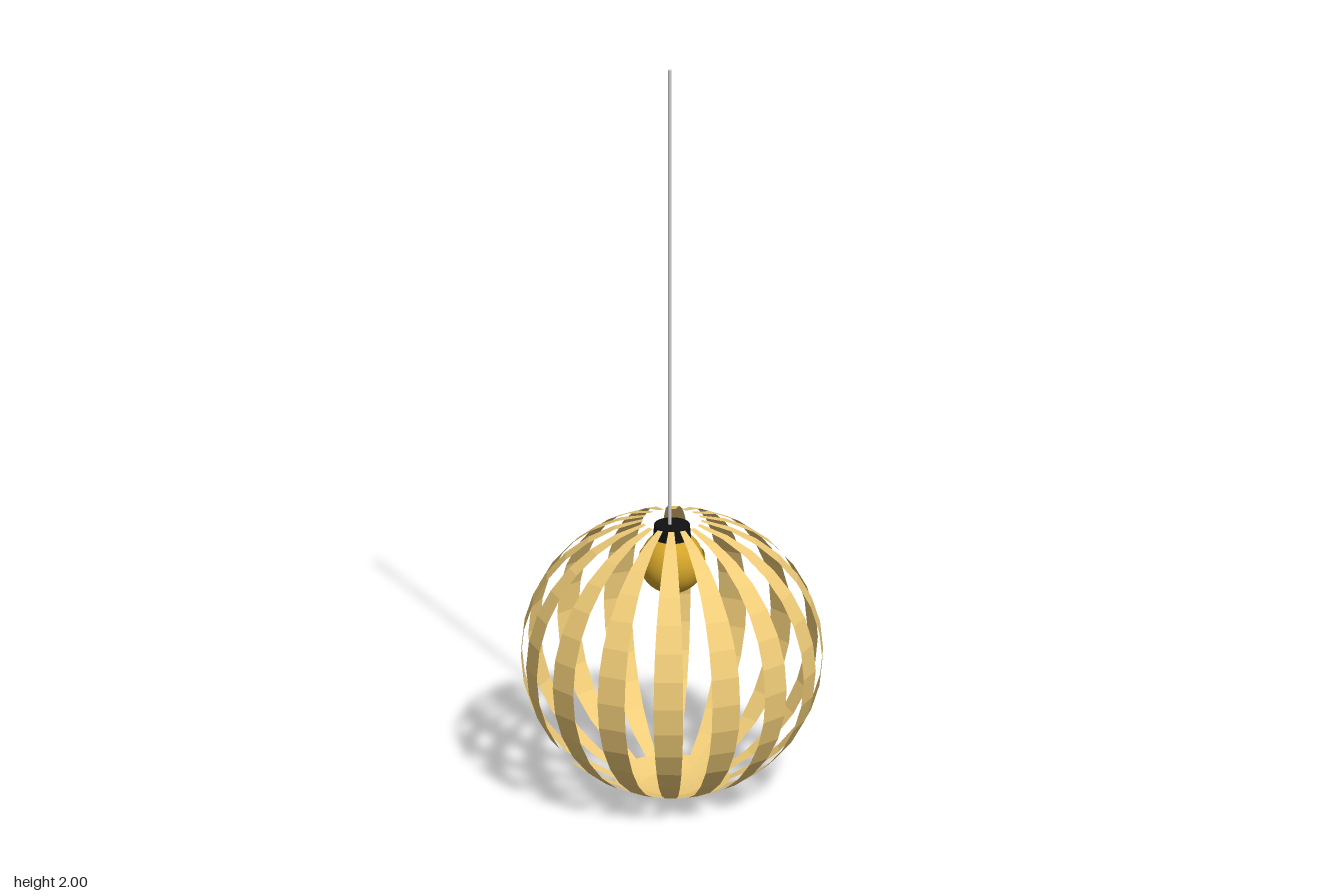
import * as THREE from 'three';

const RADIUS = 0.39, HALF_HEIGHT = 0.375, RINGS = 16, STRIPS = 16;
const STEP = Math.PI / STRIPS; // width of one strip, equal to the gap beside it

const wood = new THREE.MeshStandardMaterial({ color: 0xf0cc78, flatShading: true, side: THREE.DoubleSide });
const gold = new THREE.MeshStandardMaterial({ color: 0xd4a52a, side: THREE.DoubleSide });
const black = new THREE.MeshStandardMaterial({ color: 0x111111 });
const grey = new THREE.MeshStandardMaterial({ color: 0xcccccc });

// Globe profile between two rings, counted from the bottom pole
function profile(from, to) {
  const points = [];
  for (let i = from; i <= to; i++) {
    const a = (i / RINGS) * Math.PI;
    points.push(new THREE.Vector2(RADIUS * Math.sin(a), HALF_HEIGHT * (1 - Math.cos(a))));
  }
  return points;
}

export function createModel() {
  const group = new THREE.Group();
  const add = (name, geometry, material, x = 0, y = 0, z = 0, parent = group) => {
    const mesh = new THREE.Mesh(geometry, material);
    mesh.name = name;
    mesh.position.set(x, y, z);
    parent.add(mesh);
    return mesh;
  };

  // Slatted globe shade, open at the top
  const shade = new THREE.Group();
  shade.name = 'shade';
  group.add(shade);
  const slat = new THREE.LatheGeometry(profile(2, RINGS - 1), 1, 0, STEP);
  for (let i = 0; i < STRIPS; i++) {
    add('slat', slat, wood, 0, 0, 0, shade).rotation.y = i * 2 * STEP;
  }

  // Closed bottom, with one gap filled a ring higher
  add('shadeBottom', new THREE.LatheGeometry(profile(0, 2), 2 * STRIPS), wood, 0, 0, 0, shade);
  add('gapFiller', new THREE.LatheGeometry(profile(2, 3), 1, 9 * STEP, STEP), wood, 0, 0, 0, shade);

  // Bulb with a lower bowl, black socket and cord
  add('bulb', new THREE.SphereGeometry(0.082, 32, 20), gold, 0, 0.632, 0);
  add('bulbBowl', new THREE.SphereGeometry(0.086, 32, 14, 0, Math.PI * 2, 1.34, Math.PI - 1.34), gold, 0, 0.632, 0);
  add('socket', new THREE.CylinderGeometry(0.046, 0.05, 0.045, 32), black, 0, 0.71, 0);
  add('cord', new THREE.CylinderGeometry(0.005, 0.005, 1.28, 12), grey, -0.004, 1.36, -0.004);

  return group;
}
